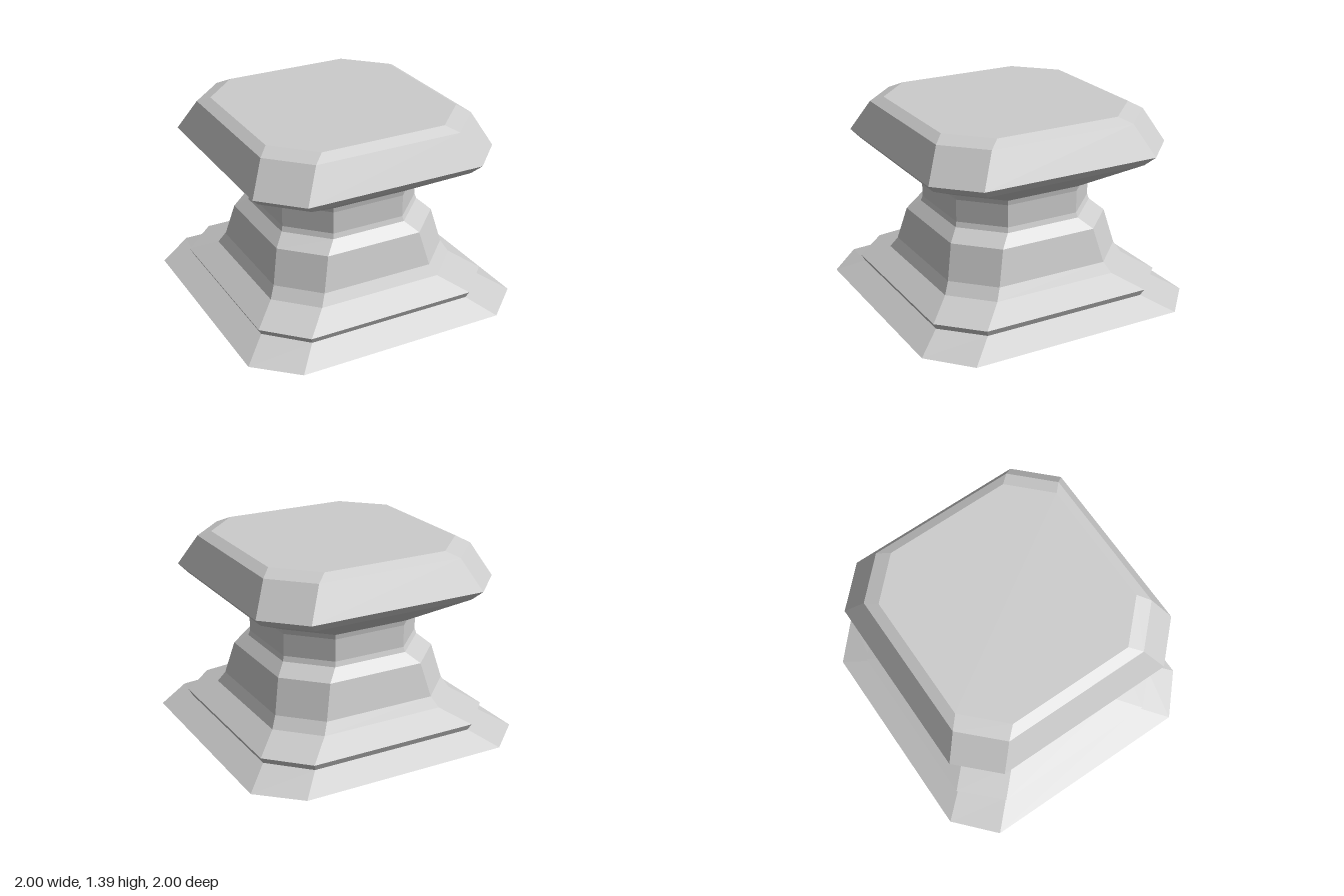
import * as THREE from 'three';

const material = new THREE.MeshStandardMaterial({ color: 0xcccccc, flatShading: true });

// Chamfered square ring: half widths wx, wz; flat-side half lengths cx, cz
function ring([y, wx, cx, wz = wx, cz = cx]) {
  return [[cx, wz], [wx, cz], [wx, -cz], [cx, -wz], [-cx, -wz], [-wx, -cz], [-wx, cz], [-cx, wz]]
    .map(([x, z]) => new THREE.Vector3(x, y, z));
}

// Skin the rings from bottom to top, closing the chosen ends
function loft(name, sections, { bottom = false, top = false } = {}) {
  const rings = sections.map(ring);
  const points = [];
  for (let i = 0; i + 1 < rings.length; i++) {
    for (let j = 0; j < 8; j++) {
      const k = (j + 1) % 8;
      const a = rings[i][j], b = rings[i][k], c = rings[i + 1][k], d = rings[i + 1][j];
      points.push(a, b, c, a, c, d);
    }
  }
  const first = rings[0], last = rings[rings.length - 1];
  for (let j = 1; j < 7; j++) {
    if (bottom) points.push(first[0], first[j + 1], first[j]);
    if (top) points.push(last[0], last[j], last[j + 1]);
  }
  const geometry = new THREE.BufferGeometry().setFromPoints(points);
  geometry.computeVertexNormals();
  const mesh = new THREE.Mesh(geometry, material);
  mesh.name = name;
  return mesh;
}

export function createModel() {
  const group = new THREE.Group();
  group.name = 'pedestal';

  // Wide sloped foot
  group.add(loft('foot', [
    [0, 0.89, 0.66, 0.92, 0.69],
    [0.05, 1, 0.73, 1, 0.755],
    [0.145, 0.83, 0.585],
  ], { bottom: true }));

  // Stepped body narrowing to the neck
  group.add(loft('column', [
    [0.145, 0.83, 0.585],
    [0.19, 0.853, 0.6],
    [0.285, 0.69, 0.44],
    [0.36, 0.648, 0.4],
    [0.595, 0.595, 0.345],
    [0.665, 0.52, 0.268],
    [0.7, 0.51, 0.26],
    [0.855, 0.51, 0.26],
    [0.89, 0.517, 0.265],
  ]));

  // Overhanging slab with a bevelled top edge
  group.add(loft('capSlab', [
    [0.89, 0.517, 0.265],
    [1.08, 0.82, 0.575],
    [1.14, 0.875, 0.625],
    [1.355, 0.765, 0.515],
    [1.395, 0.695, 0.44],
  ], { top: true }));

  return group;
}
